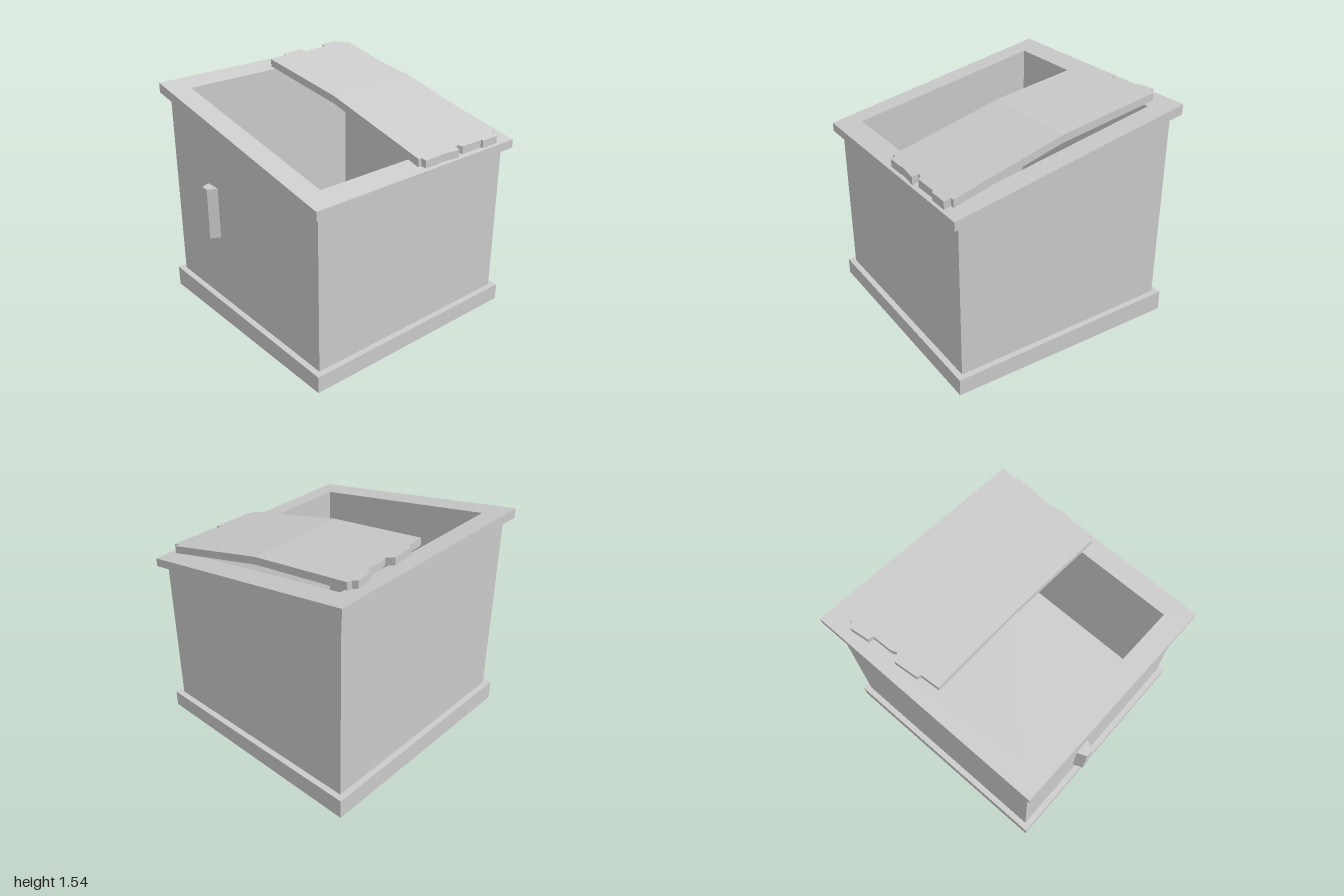
import * as THREE from 'three';

const material = new THREE.MeshStandardMaterial({ color: 0xcccccc, flatShading: true });

// Outlines run anticlockwise seen from above, so holes are turned to face inward
const square = (h) => [[-h, -h], [-h, h], [h, h], [h, -h]];
const toPoints = (list) => list.map(([x, z]) => new THREE.Vector2(x, -z));

// Slab from a plan outline [x, z]; its bottom and top heights are rules of z
function slab(name, outline, bottom, top, hole) {
  const shape = new THREE.Shape(toPoints(outline));
  if (hole) shape.holes.push(new THREE.Path(toPoints(hole).reverse()));
  const geo = new THREE.ExtrudeGeometry(shape, { depth: 1, bevelEnabled: false });
  geo.rotateX(-Math.PI / 2);
  const p = geo.attributes.position;
  for (let i = 0; i < p.count; i++) {
    const z = p.getZ(i);
    p.setY(i, THREE.MathUtils.lerp(bottom(z), top(z), p.getY(i)));
  }
  geo.computeVertexNormals();
  const mesh = new THREE.Mesh(geo, material);
  mesh.name = name;
  return mesh;
}

export function createModel() {
  const bin = new THREE.Group();
  bin.name = 'openBin';
  bin.rotation.y = 0.311;

  const baseTop = (z) => 0.124 - 0.0175 * z;
  const rimTop = (z) => 1.335 - 0.195 * z;
  const rimBottom = (z) => 1.275 - 0.19 * z;
  const lidTop = (z) => 1.435 - (z > 0 ? 0.257 : 0.148) * z;
  const lidBottom = (z) => lidTop(z) - 0.05;

  // Plinth, hollow body and sloping rim
  bin.add(slab('base', square(0.786), () => 0, baseTop));
  bin.add(slab('walls', square(0.747), baseTop, rimBottom, square(0.65)));
  bin.add(slab('rim', square(0.796), rimBottom, rimTop, square(0.65)));

  // Bent lid over the left half, with chipped ends
  const lid = new THREE.Group();
  lid.name = 'lid';
  const frontEdge = [
    [0, 0.745], [0.025, 0.745], [0.03, 0.775], [0.15, 0.775], [0.16, 0.77], [0.305, 0.782],
    [0.31, 0.742], [0.335, 0.742], [0.355, 0.768], [0.52, 0.766], [0.525, 0.778],
    [0.655, 0.778], [0.66, 0.735], [0.684, 0.735],
  ];
  const backEdge = [
    [0.645, -0.693], [0.615, -0.7], [0.6, -0.73], [0.48, -0.715], [0.47, -0.68], [0.34, -0.675],
    [0.3, -0.66], [0.275, -0.71], [0.12, -0.695], [0.11, -0.67], [-0.015, -0.66],
  ];
  lid.add(slab('lidFront', [[0.664, 0], [-0.008, 0], ...frontEdge], lidBottom, lidTop));
  lid.add(slab('lidBack', [[-0.008, 0], [0.664, 0], ...backEdge], lidBottom, lidTop));
  bin.add(lid);

  // Upright tapered handle standing just off the right wall
  const handle = [[-0.773, -0.312], [-0.834, -0.286], [-0.834, -0.235], [-0.773, -0.205]];
  bin.add(slab('handle', handle, () => 0.61, () => 0.95));

  const model = new THREE.Group();
  model.add(bin);
  return model;
}
